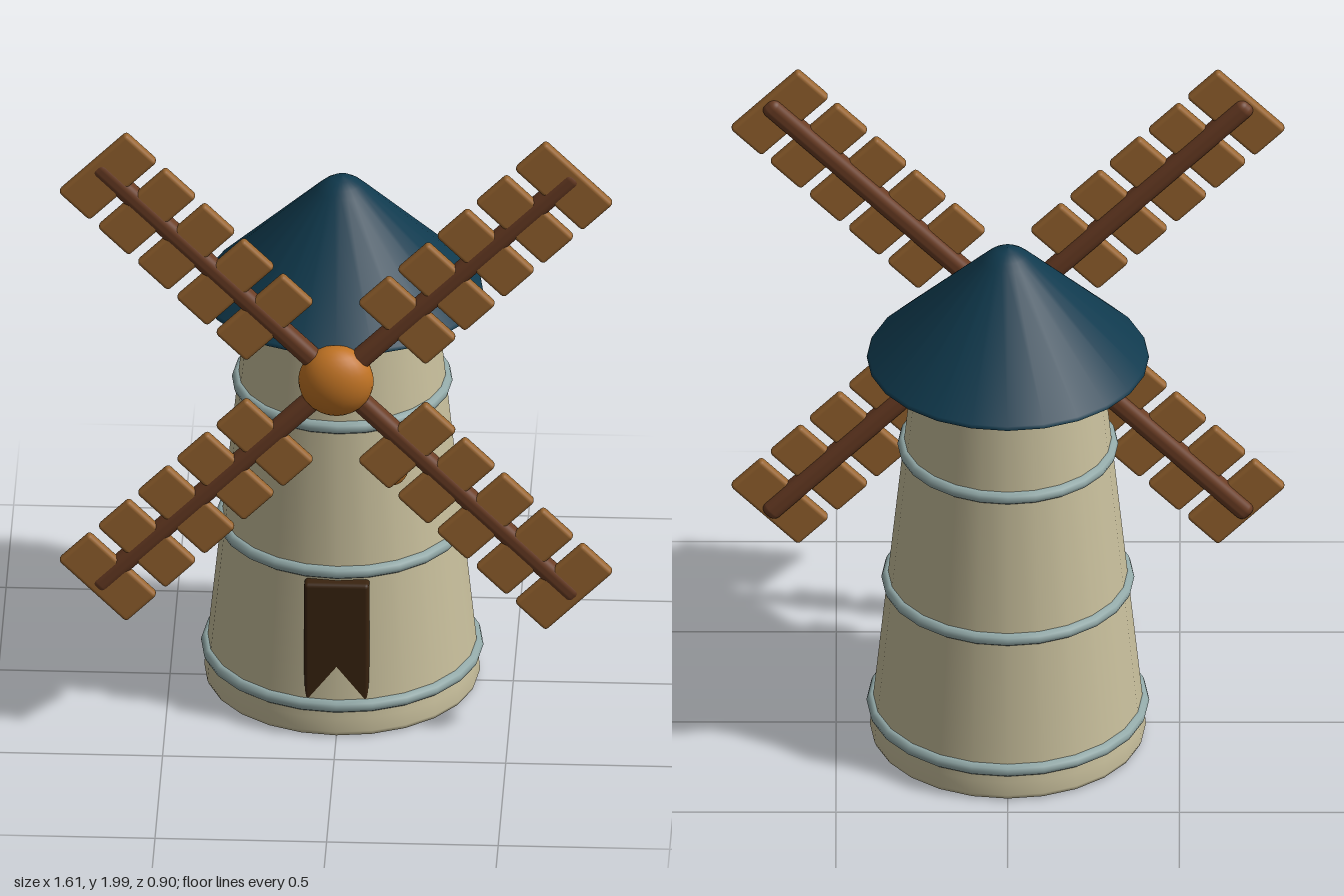
import * as THREE from 'three';
import { RoundedBoxGeometry } from 'three/addons/geometries/RoundedBoxGeometry.js';

const mat = (name, color) => {
  const m = new THREE.MeshStandardMaterial({ color });
  m.name = name;
  return m;
};

const SIDES = 24;
const TOWER_Z = -0.035;
const towerRadius = (y) => 0.4 + 0.004 - 0.103 * y;

// Revolved profile; a repeated point makes a sharp edge
const lathe = (points) =>
  new THREE.LatheGeometry(points.map(([r, y]) => new THREE.Vector2(r, y)), SIDES);

export function createModel() {
  const plaster = mat('plaster', 0xc8bf9c);
  const slate = mat('roof blue', 0x103a4e);
  const band = mat('band grey', 0x93aaa9);
  const plankWood = mat('plank wood', 0x9a6630);
  const darkWood = mat('spar wood', 0x6b3d24);
  const doorWood = mat('door wood', 0x3a2410);
  const amber = mat('amber', 0xc27424);

  const model = new THREE.Group();
  model.name = 'windmill';
  const add = (parent, name, geometry, material, x = 0, y = 0, z = 0) => {
    const mesh = new THREE.Mesh(geometry, material);
    mesh.name = name;
    mesh.position.set(x, y, z);
    parent.add(mesh);
    return mesh;
  };

  // Tapered tower with a softened foot
  add(model, 'tower', lathe([
    [0, 0], [0.385, 0], [0.385, 0], [0.397, 0.005], [0.402, 0.018],
    [towerRadius(0.06), 0.06], [towerRadius(1.28), 1.28], [towerRadius(1.28), 1.28], [0, 1.28],
  ]), plaster, 0, 0, TOWER_Z);

  // Bands around the tower
  for (const y of [0.1, 0.52, 0.975]) {
    const ring = new THREE.TorusGeometry(towerRadius(y) - 0.002, 0.02, 10, SIDES);
    ring.rotateX(Math.PI / 2).rotateY(Math.PI / 2);
    add(model, 'band', ring, band, 0, y, TOWER_Z);
  }

  // Conical roof with a rounded peak and flat underside
  add(model, 'roof', lathe([
    [0, 1.268], [0.405, 1.268], [0.405, 1.268], [0.411, 1.271], [0.405, 1.281],
    [0.075, 1.604], [0.055, 1.622], [0.03, 1.638], [0, 1.645],
  ]), slate, 0, 0, TOWER_Z);

  // Flat door slab, partly sunk into the tapered wall
  add(model, 'door', new RoundedBoxGeometry(0.19, 0.39, 0.1, 2, 0.012), doorWood, 0, 0.3, 0.296);

  // Oval windows
  for (const side of [-1, 1]) {
    add(model, 'window', new THREE.SphereGeometry(1, 24, 16), amber, side * 0.16, 0.86, 0.258)
      .scale.set(0.05, 0.077, 0.019);
  }

  // Sails: four spars with five cross planks each, around a hub
  const sails = new THREE.Group();
  sails.name = 'sails';
  sails.position.set(0, 1.19, 0.375);
  model.add(sails);
  add(sails, 'hub', new THREE.SphereGeometry(0.11, 24, 16), amber).scale.z = 0.69;

  const sparGeo = new RoundedBoxGeometry(0.06, 0.95, 0.06, 4, 0.024);
  const plankGeo = new RoundedBoxGeometry(0.28, 0.129, 0.034, 2, 0.012);
  for (let i = 0; i < 4; i++) {
    const sail = new THREE.Group();
    sail.name = 'sail';
    sail.rotation.z = Math.PI / 4 + (i * Math.PI) / 2;
    sails.add(sail);
    add(sail, 'spar', sparGeo, darkWood, 0, 0.518, -0.007);
    for (let k = 0; k < 5; k++) {
      add(sail, 'plank', plankGeo, plankWood, 0, 0.294 + k * 0.1615, 0.002);
    }
  }
  return model;
}
